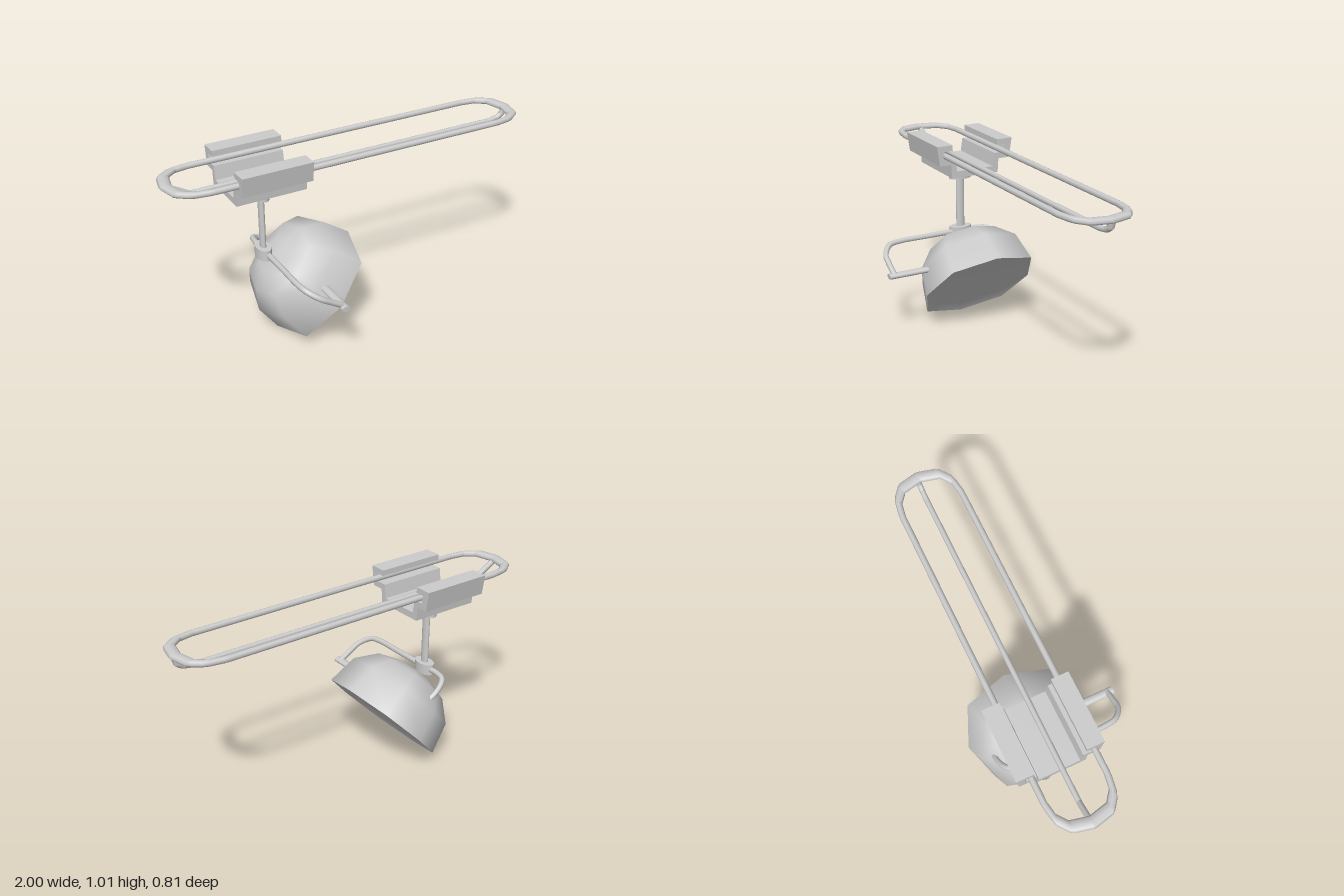
import * as THREE from 'three';

const V = (x, y, z) => new THREE.Vector3(x, y, z);

export function createModel() {
  const group = new THREE.Group();
  const mat = new THREE.MeshStandardMaterial({ color: 0xcccccc });
  const thin = new THREE.MeshStandardMaterial({ color: 0xcccccc, side: THREE.DoubleSide });

  const add = (name, geo, material = mat) => {
    const mesh = new THREE.Mesh(geo, material);
    mesh.name = name;
    group.add(mesh);
    return mesh;
  };

  // Rod through points; tension 0 keeps straight runs, stretch widens it along x
  const rod = (name, pts, r, { closed = false, segs = 40, stretch = 1, type = 'centripetal' } = {}) => {
    const path = new THREE.CatmullRomCurve3(
      pts.map(([x, y, z]) => V(x / stretch, y, z)), closed, type, 0);
    path.arcLengthDivisions = 1000;
    const geo = new THREE.TubeGeometry(path, segs, r, 8, closed);
    geo.scale(stretch, 1, 1);
    return add(name, geo, thin);
  };

  // Upper rail loop: one pointed end outline, repeated turned round for the other end
  const cz = -0.1;
  const end = [[0.8, 0.16], [0.885, 0.146], [0.945, 0.1], [0.968, 0],
    [0.945, -0.1], [0.885, -0.146], [0.8, -0.16]];
  const loop = [1, -1].flatMap(s => end.map(([x, z]) => [s * x, 0.956, cz + s * z]));
  rod('railLoop', loop, 0.016, { closed: true, segs: 200, stretch: 2, type: 'catmullrom' });

  // Single lower rail joining the loop at both ends
  rod('lowerRail', [[-0.97, 0.956, -0.105], [-0.855, 0.891, -0.105], [0.88, 0.891, -0.105],
    [0.93, 0.899, -0.105], [0.96, 0.918, -0.105], [0.972, 0.955, -0.105]],
    0.014, { segs: 150, stretch: 1.5, type: 'catmullrom' });

  // Stepped channel bracket, extruded along the rail
  const half = [[0.137, 0.83], [0.142, 0.905], [0.207, 0.905], [0.2225, 1.01], [0.132, 1.01],
    [0.132, 0.98], [0.18, 0.98], [0.172, 0.937], [0.118, 0.937], [0.107, 0.865]];
  const outline = [...half, ...half.map(([u, y]) => [-u, y]).reverse()];
  const bracket = new THREE.ExtrudeGeometry(
    new THREE.Shape(outline.map(([u, y]) => new THREE.Vector2(u, y))),
    { depth: 0.373, bevelEnabled: false });
  bracket.rotateY(Math.PI / 2);
  bracket.translate(-0.671, 0, -0.114);
  add('railBracket', bracket);

  // Stem and its two collars, oval in plan
  const stemX = -0.483, stemZ = -0.118;
  const oval = (name, rx, rz, y0, y1) => {
    const geo = new THREE.CylinderGeometry(1, 1, y1 - y0, 20);
    geo.scale(rx, 1, rz);
    add(name, geo).position.set(stemX, (y0 + y1) / 2, stemZ);
  };
  oval('upperCollar', 0.038, 0.064, 0.77, 0.835);
  oval('stem', 0.0145, 0.024, 0.45, 0.78);
  oval('lowerCollar', 0.038, 0.064, 0.435, 0.493);

  // Yoke arms, one open in front and one running into the shade behind
  rod('frontArm', [[-0.478, 0.465, stemZ], [-0.478, 0.465, 0.1], [-0.478, 0.464, 0.25],
    [-0.465, 0.457, 0.32], [-0.41, 0.422, 0.368], [-0.36, 0.392, 0.372], [-0.29, 0.35, 0.372]], 0.015);
  rod('backArm', [[-0.478, 0.465, stemZ], [-0.478, 0.465, -0.23], [-0.465, 0.457, -0.28],
    [-0.41, 0.422, -0.31], [-0.29, 0.35, -0.31]], 0.015);

  // Pivot pin from the front arm into the shade
  const pin = new THREE.CylinderGeometry(1, 1, 0.3, 12);
  pin.rotateX(Math.PI / 2);
  pin.scale(0.023, 0.015, 1);
  add('pivotPin', pin).position.set(-0.293, 0.347, 0.253);

  // Eight-sided shade, tilted, with a barely recessed face
  const lamp = new THREE.Group();
  lamp.name = 'lampHead';
  const lathe = (name, pts) => {
    const geo = new THREE.LatheGeometry(pts.map(([r, y]) => new THREE.Vector2(r, y)), 8);
    // Push the diagonal corners out a little
    const pos = geo.attributes.position;
    for (let i = 0; i < pos.count; i++) {
      const k = Math.floor(i / pts.length) % 2 ? 1.068 : 1;
      pos.setXYZ(i, pos.getX(i) * k, pos.getY(i), pos.getZ(i) * k);
    }
    const mesh = new THREE.Mesh(geo, thin);
    mesh.name = name;
    lamp.add(mesh);
  };
  lathe('shade', [[0.311, 0], [0.282, 0.165], [0.195, 0.264], [0.1, 0.296], [0, 0.305]]);
  lathe('lampFace', [[0, 0.015], [0.255, 0.015], [0.311, 0]]);
  lamp.position.set(-0.22, 0.231, -0.092);
  lamp.rotation.z = 0.814;
  group.add(lamp);

  return group;
}
